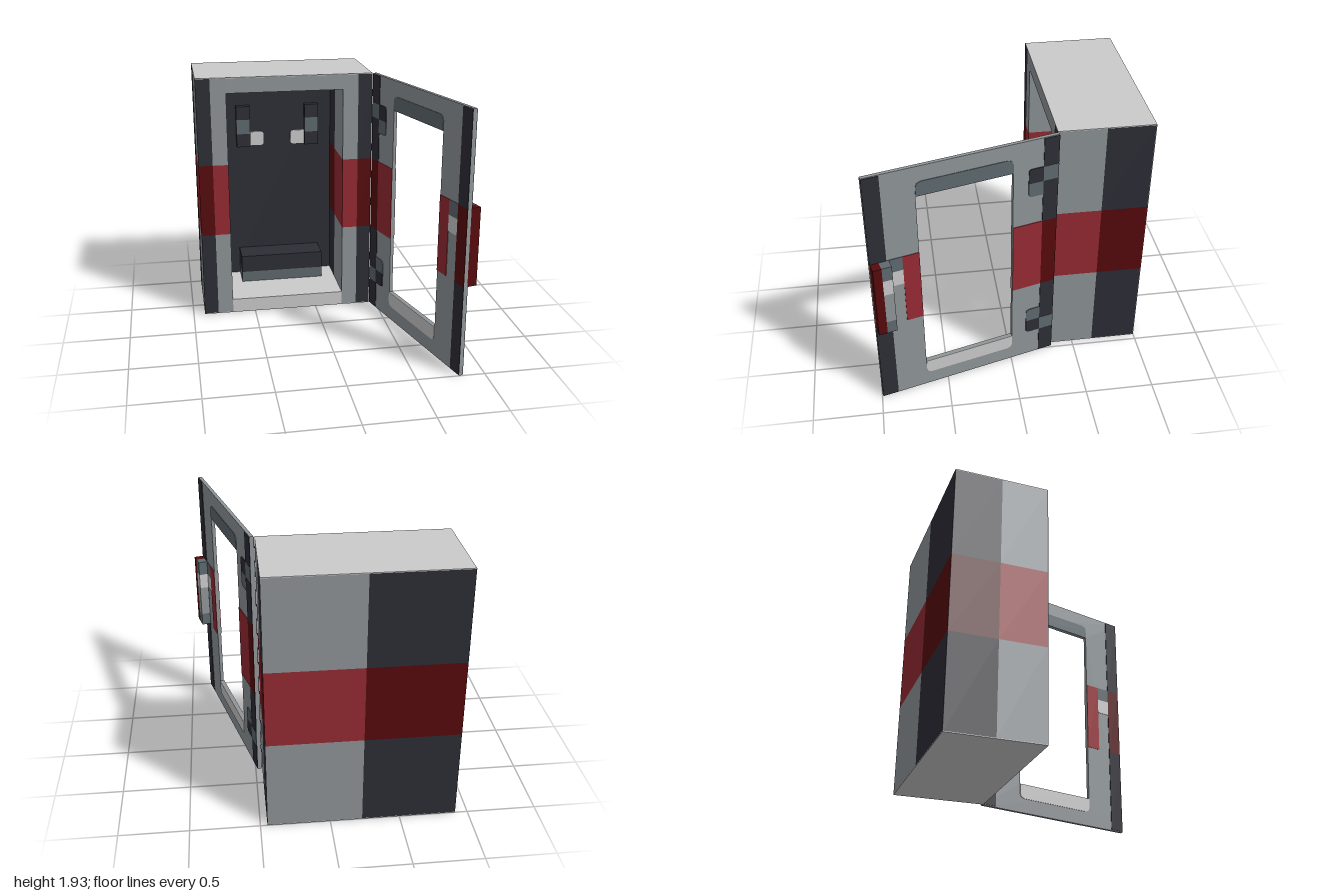
import * as THREE from 'three';

const flat = (name, color) => {
  const m = new THREE.MeshStandardMaterial({ color });
  m.name = name;
  return m;
};

export function createModel() {
  const dark = flat('charcoal', 0x2d2d36), grey = flat('steel grey', 0x8f9598);
  const light = flat('light grey', 0xcbcbcb), slate = flat('slate', 0x5e696e);
  const red = flat('red', 0x962a33), darkRed = flat('dark red', 0x570a0c);
  const H = 1.93, bandLow = 0.68, bandHigh = 1.25;
  const model = new THREE.Group();
  model.name = 'lockerWithOpenDoor';

  const box = (parent, name, mat, x0, x1, y0, y1, z0, z1) => {
    const mesh = new THREE.Mesh(new THREE.BoxGeometry(x1 - x0, y1 - y0, z1 - z0), mat);
    mesh.position.set((x0 + x1) / 2, (y0 + y1) / 2, (z0 + z1) / 2);
    mesh.name = name;
    parent.add(mesh);
  };
  // A full-height piece crossed by the red band
  const banded = (parent, name, mat, x0, x1, z0, z1) => {
    const mid = mat === dark ? darkRed : red;
    box(parent, name + 'Lower', mat, x0, x1, 0.006, bandLow, z0, z1);
    box(parent, name + 'Band', mid, x0, x1, bandLow, bandHigh, z0, z1);
    box(parent, name + 'Upper', mat, x0, x1, bandHigh, H - 0.006, z0, z1);
  };
  // Flat plate with cut corners, given as [lower left, lower right, upper right, upper left]
  const plate = (parent, name, mat, x0, x1, y0, y1, z0, z1, cuts = [0, 0, 0, 0]) => {
    const [a, b, c, d] = cuts, pts = [];
    const add = (x, y) => pts.push(new THREE.Vector2(x, y));
    const corner = (r, x, y, first, second) => {
      if (!r) return add(x, y);
      add(x + first[0] * r, y + first[1] * r);
      add(x + (first[0] + second[0]) * r * 0.29, y + (first[1] + second[1]) * r * 0.29);
      add(x + second[0] * r, y + second[1] * r);
    };
    corner(a, x0, y0, [0, 1], [1, 0]);
    corner(b, x1, y0, [-1, 0], [0, 1]);
    corner(c, x1, y1, [0, -1], [-1, 0]);
    corner(d, x0, y1, [1, 0], [0, -1]);
    const geo = new THREE.ExtrudeGeometry(new THREE.Shape(pts), { depth: z1 - z0, bevelEnabled: false });
    geo.translate(0, 0, z0);
    const mesh = new THREE.Mesh(geo, mat);
    mesh.name = name;
    parent.add(mesh);
  };

  // Cabinet shell
  const cabinet = new THREE.Group();
  cabinet.name = 'cabinet';
  model.add(cabinet);
  const L = -0.91, R = 0.45, inL = -0.68, inR = 0.22, F = -0.32, M = -0.66, inB = -0.887, B = -1;
  for (const [side, x0, x1, s0, s1] of [['right', L, inL, L, -0.8], ['left', inR, R, 0.34, R]]) {
    banded(cabinet, side + 'WallFront', grey, x0, x1, M, F - 0.005);
    banded(cabinet, side + 'WallRear', dark, x0, x1, B + 0.005, M);
    banded(cabinet, side + 'FrontStrip', dark, s0, s1, F - 0.005, F);
  }
  banded(cabinet, 'rightFrontFrame', grey, -0.8, inL, F - 0.005, F);
  banded(cabinet, 'leftFrontFrame', grey, inR, 0.34, F - 0.005, F);
  banded(cabinet, 'backDarkHalf', dark, L, -0.23, B, B + 0.005);
  banded(cabinet, 'backGreyHalf', grey, -0.23, R, B, B + 0.005);
  box(cabinet, 'innerBack', dark, inL, inR, 0.006, H - 0.006, B + 0.005, inB);
  box(cabinet, 'header', grey, inL, inR, 1.81, H - 0.006, inB, F);
  box(cabinet, 'floor', light, inL, inR, 0.006, 0.113, inB, F);
  box(cabinet, 'roof', light, L, R, H - 0.006, H, B, F);
  box(cabinet, 'base', light, L, R, 0, 0.006, B, F);

  // Inner shelf block
  box(cabinet, 'shelfLower', slate, -0.57, 0.11, 0.113, 0.2, inB, -0.67);
  box(cabinet, 'shelfUpper', dark, -0.57, 0.11, 0.2, 0.34, inB, -0.67);

  // Pair of wall brackets with hooks
  for (const s of [-1, 1]) {
    const bracket = new THREE.Group();
    bracket.name = s < 0 ? 'rightBracket' : 'leftBracket';
    bracket.position.x = -0.23;
    cabinet.add(bracket);
    const a = s < 0 ? -0.34 : 0.227, b = a + 0.113;
    box(bracket, 'bracketLower', dark, a, b, 1.25, 1.36, inB, -0.83);
    box(bracket, 'bracketMiddle', slate, a, b, 1.36, 1.48, inB, -0.83);
    box(bracket, 'bracketUpper', dark, a, b, 1.48, 1.59, inB, -0.83);
    const cuts = s < 0 ? [0, 0.02, 0.02, 0] : [0.02, 0, 0, 0.02];
    const k = s < 0 ? -0.227 : 0.113;
    plate(bracket, 'hook', light, k, k + 0.114, 1.25, 1.365, inB, inB + 0.009, cuts);
  }

  // Door: local x runs from hinge to free edge, local -z faces outward
  const door = new THREE.Group();
  door.name = 'door';
  door.position.set(0.453, 0, F);
  door.rotation.y = -THREE.MathUtils.degToRad(75);
  model.add(door);
  const W = 1.366, T = 0.035, u0 = 0.335, u1 = 1.02, low = 0.228, high = 1.705;
  const slab = new THREE.Shape([[0, 0], [W, 0], [W, H], [0, H]].map(p => new THREE.Vector2(...p)));
  slab.holes.push(new THREE.Path([[u0, low], [u0, high], [u1, high], [u1, low]].map(p => new THREE.Vector2(...p))));
  const core = new THREE.ExtrudeGeometry(slab, { depth: T - 0.008, bevelEnabled: false });
  core.translate(0, 0, 0.004 - T);
  const panel = new THREE.Mesh(core, grey);
  panel.name = 'doorPanel';
  door.add(panel);

  // Door details, the same on both faces
  for (const [side, z0, z1, dz] of [['outer', -T, 0.004 - T, -0.002], ['inner', -0.004, 0, 0.002]]) {
    const lo = z0 + Math.min(dz, 0), hi = z1 + Math.max(dz, 0);
    banded(door, side + 'HingeStrip', dark, 0, 0.113, z0, z1);
    banded(door, side + 'EdgeStrip', dark, 1.25, W, z0, z1);
    box(door, side + 'HingeBand', red, 0.113, u0, bandLow, bandHigh, z0, z1);
    box(door, side + 'LatchBand', red, u1, 1.14, bandLow, bandHigh, z0, z1);
    plate(door, side + 'WindowTop', slate, u0, u1, high, 1.815, z0, z1, [0, 0, 0.04, 0.04]);
    plate(door, side + 'WindowSill', light, u0, u1, 0.113, low, z0, z1, [0.04, 0.04, 0, 0]);
    box(door, side + 'LatchTop', slate, 1.14, 1.25, 1.14, bandHigh, z0, z1);
    box(door, side + 'LatchLight', light, 1.14, 1.25, 1.02, 1.14, z0, z1);
    for (const up of [true, false]) {
      const y = (a, b) => (up ? [a, b] : [H - b, H - a]);
      const cut = up ? [0, 0.025, 0, 0] : [0, 0, 0.025, 0];
      const end = up ? [0, 0, 0.02, 0] : [0, 0.02, 0, 0];
      plate(door, side + 'HingeLeaf', slate, 0, 0.113, ...y(1.59, 1.705), lo, hi);
      plate(door, side + 'HingeKnuckle', dark, 0.113, 0.222, ...y(1.59, 1.705), lo, hi, end);
      plate(door, side + 'HingeTail', slate, 0.113, 0.222, ...y(1.48, 1.59), lo, hi, cut);
    }
  }

  // Handle on the outer face
  const hz = -T - 0.07;
  const grip = [[slate, bandLow, 0.78], [grey, 0.78, 1.02], [light, 1.02, 1.14], [slate, 1.14, bandHigh]];
  for (const [mat, y0, y1] of grip) box(door, 'handleGrip', mat, 1.234, 1.305, y0, y1, hz, -T);
  box(door, 'handleEdge', darkRed, 1.305, W, bandLow, bandHigh, hz, -T);
  return model;
}
